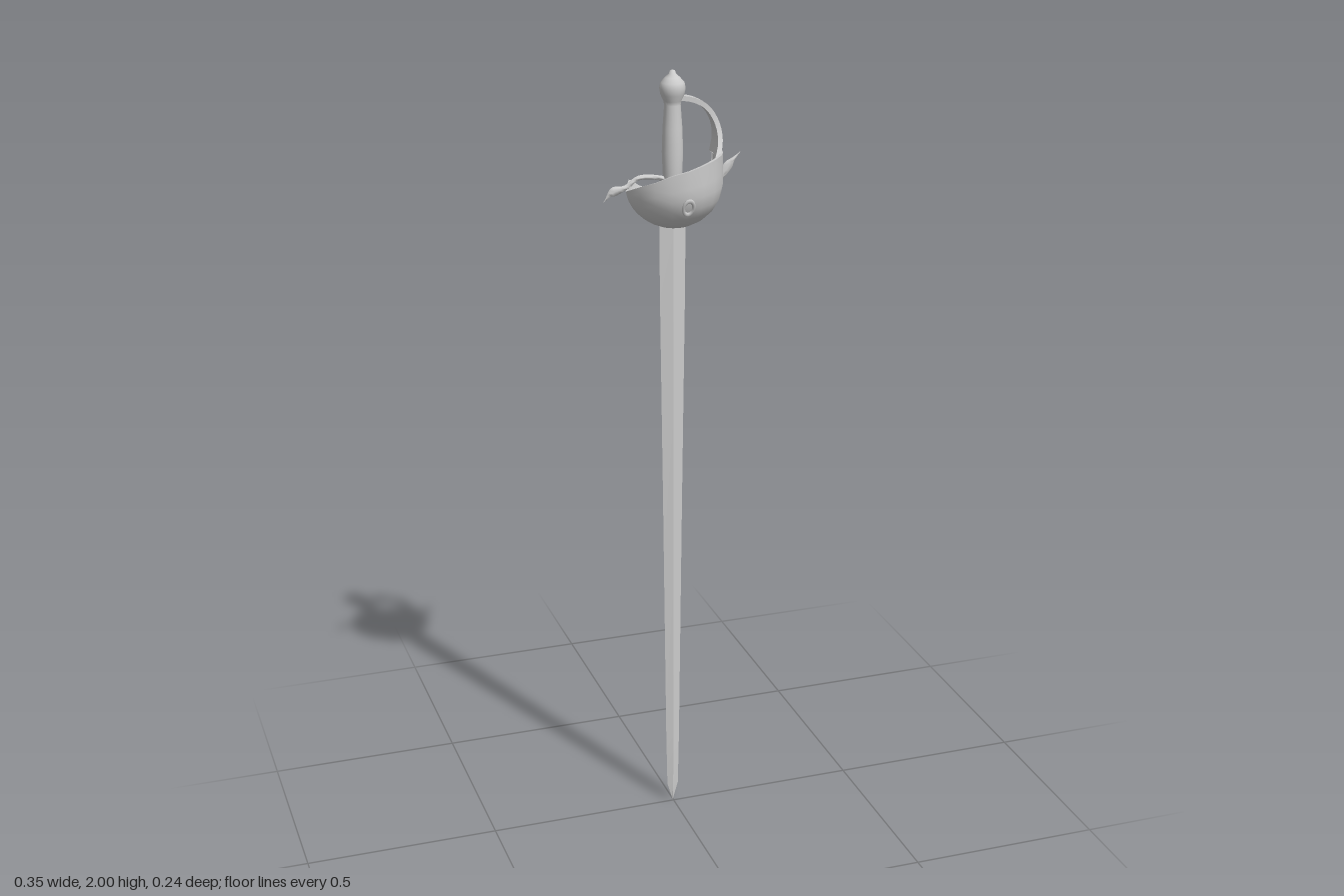
import * as THREE from 'three';
import { toCreasedNormals } from 'three/addons/utils/BufferGeometryUtils.js';

const material = new THREE.MeshStandardMaterial({ color: 0xcccccc, side: THREE.DoubleSide });
const AXIS_Z = -0.008; // blade, grip and quillons share this depth

// Joins rings of points into a surface; skip(i, k) leaves a quad open.
function loft(rings, { loop = false, caps = true, crease = 0.7, skip = () => false } = {}) {
  const n = rings[0].length, pos = [];
  const tri = (...pts) => pts.forEach((p) => pos.push(p.x, p.y, p.z));
  const last = loop ? rings.length : rings.length - 1;
  for (let i = 0; i < last; i++) {
    const a = rings[i], b = rings[(i + 1) % rings.length];
    for (let k = 0; k < n; k++) {
      if (skip(i, k)) continue;
      const m = (k + 1) % n;
      tri(a[k], a[m], b[m]);
      tri(a[k], b[m], b[k]);
    }
  }
  if (!loop && caps) {
    const end = rings[rings.length - 1];
    for (let k = 1; k < n - 1; k++) {
      tri(rings[0][0], rings[0][k + 1], rings[0][k]);
      tri(end[0], end[k], end[k + 1]);
    }
  }
  const geometry = new THREE.BufferGeometry();
  geometry.setAttribute('position', new THREE.Float32BufferAttribute(pos, 3));
  return toCreasedNormals(geometry, crease);
}

function add(group, name, geometry) {
  const mesh = new THREE.Mesh(geometry, material);
  mesh.name = name;
  group.add(mesh);
  return mesh;
}

const V = (x, y, z) => new THREE.Vector3(x, y, z);

// Long tapering blade with a diamond section: [y, half width, half thickness]
function bladeGeometry() {
  const rows = [[0, 0.001, 0.001], [0.05, 0.015, 0.005], [0.2, 0.018, 0.006],
    [0.9, 0.026, 0.007], [1.45, 0.033, 0.008], [1.66, 0.034, 0.008]];
  return loft(rows.map(([y, w, t]) => [
    V(w, y, AXIS_Z), V(0, y, AXIS_Z - t), V(-w, y, AXIS_Z), V(0, y, AXIS_Z + t),
  ]), { crease: 0.1 });
}

// Swelling grip, neck, ball and button of the pommel
function handleGeometry() {
  const grip = [[0, 1.63], [0.02, 1.63], [0.02, 1.7], [0.024, 1.75], [0.026, 1.8], [0.024, 1.86],
    [0.02, 1.915], [0.022, 1.925], [0.029, 1.94], [0.032, 1.956], [0.029, 1.97],
    [0.018, 1.982], [0.009, 1.99], [0.006, 1.998], [0, 2]];
  return new THREE.LatheGeometry(grip.map(([r, y]) => new THREE.Vector2(r, y)), 20);
}

// Cup: round bowl whose rim height changes with the angle from +x towards +z
function cupGeometry() {
  const rim = [[-18, 1.69], [-14, 1.8], [-8, 1.8], [2, 1.8], [11, 1.8], [20, 1.8], [35, 1.8],
    [52, 1.797], [71, 1.79], [90, 1.78], [110, 1.77], [130, 1.752], [150, 1.737], [168, 1.722],
    [185, 1.71], [203, 1.705], [222, 1.72], [238, 1.7], [254, 1.688], [270, 1.685],
    [288, 1.685], [306, 1.685], [324, 1.685]];
  const steps = [0, 0.04, 0.12, 0.25, 0.4, 0.57, 0.73, 0.87, 1];
  const bottom = 1.615, wide = 1.725;
  const point = (deg, top, t, inset) => {
    const a = THREE.MathUtils.degToRad(deg);
    const y = bottom + (top - bottom) * t;
    const d = Math.min(1, Math.max(0, (wide - y) / (wide - bottom)));
    const r = Math.max(0, 0.12 * Math.sqrt(1 - d * d) - inset);
    return V(r * Math.cos(a), y + (inset && t < 1 ? 0.007 * (1 - t) : 0), r * Math.sin(a));
  };
  const rings = rim.map(([deg, top]) => [
    ...steps.map((t) => point(deg, top, t, 0)),
    ...steps.map((t) => point(deg, top, t, 0.007)).reverse(),
  ]);
  // opening beside the foot of the knuckle guard
  const open = (i, k) => (i === 3 || i === 4) && [4, 5, 11, 12].includes(k);
  return loft(rings, { loop: true, skip: open });
}

// Knuckle guard: a flat strap that narrows upwards to the pommel.
function guardGeometry() {
  const path = new THREE.CatmullRomCurve3([V(0.108, 1.79, 0), V(0.114, 1.83, 0), V(0.107, 1.87, 0),
    V(0.085, 1.905, 0), V(0.052, 1.924, 0), V(0.015, 1.932, 0)]);
  const rings = [];
  for (let i = 0; i <= 16; i++) {
    const u = i / 16, p = path.getPoint(u), t = path.getTangent(u);
    const n = V(t.y, -t.x, 0).multiplyScalar(0.006);
    const front = 0.002 + 0.058 * Math.pow(1 - u, 3.5), back = -0.021 - 0.009 * (1 - u);
    // the wide foot follows the curve of the cup
    const bend = (z) => Math.max(0, z) ** 2 * 4.5;
    rings.push([
      V(p.x + n.x - bend(front), p.y + n.y, front), V(p.x + n.x, p.y + n.y, 0),
      V(p.x + n.x, p.y + n.y, back), V(p.x - n.x, p.y - n.y, back),
      V(p.x - n.x, p.y - n.y, 0), V(p.x - n.x - bend(front), p.y - n.y, front),
    ]);
  }
  return loft(rings);
}

// Quillons: one S-curved bar through the cup, with leaf-shaped ends
function quillonGeometry() {
  const path = new THREE.CatmullRomCurve3([V(-0.176, 1.688, AXIS_Z), V(-0.155, 1.71, AXIS_Z),
    V(-0.12, 1.72, AXIS_Z), V(-0.085, 1.742, AXIS_Z), V(0, 1.73, AXIS_Z), V(0.085, 1.705, AXIS_Z),
    V(0.12, 1.722, AXIS_Z), V(0.148, 1.76, AXIS_Z), V(0.176, 1.787, AXIS_Z)]);
  const rings = [];
  for (let i = 0; i <= 40; i++) {
    const u = i / 40, p = path.getPoint(u), t = path.getTangent(u);
    const end = Math.min(u, 1 - u);
    const taper = Math.min(1, 0.08 + end * 7);
    const high = (0.006 + 0.006 * Math.exp(-(((end - 0.15) / 0.06) ** 2))) * taper;
    const ring = [];
    for (let k = 0; k < 8; k++) {
      const a = (k / 8) * Math.PI * 2, h = Math.cos(a) * high;
      ring.push(V(p.x - t.y * h, p.y + t.x * h, p.z + Math.sin(a) * 0.0055 * taper));
    }
    rings.push(ring);
  }
  return loft(rings, { crease: 1.2 });
}

export function createModel() {
  const sword = new THREE.Group();
  sword.name = 'sword';
  add(sword, 'blade', bladeGeometry());
  add(sword, 'gripAndPommel', handleGeometry()).position.z = AXIS_Z;
  add(sword, 'cupGuard', cupGeometry());
  add(sword, 'knuckleGuard', guardGeometry());
  add(sword, 'quillons', quillonGeometry());

  // Small oval ring set on the front of the cup
  const ring = add(sword, 'cupRing', new THREE.TorusGeometry(0.013, 0.004, 8, 16));
  ring.position.set(0, 1.69, 0.114);
  ring.rotation.x = 0.35;
  ring.scale.y = 1.5;
  return sword;
}
